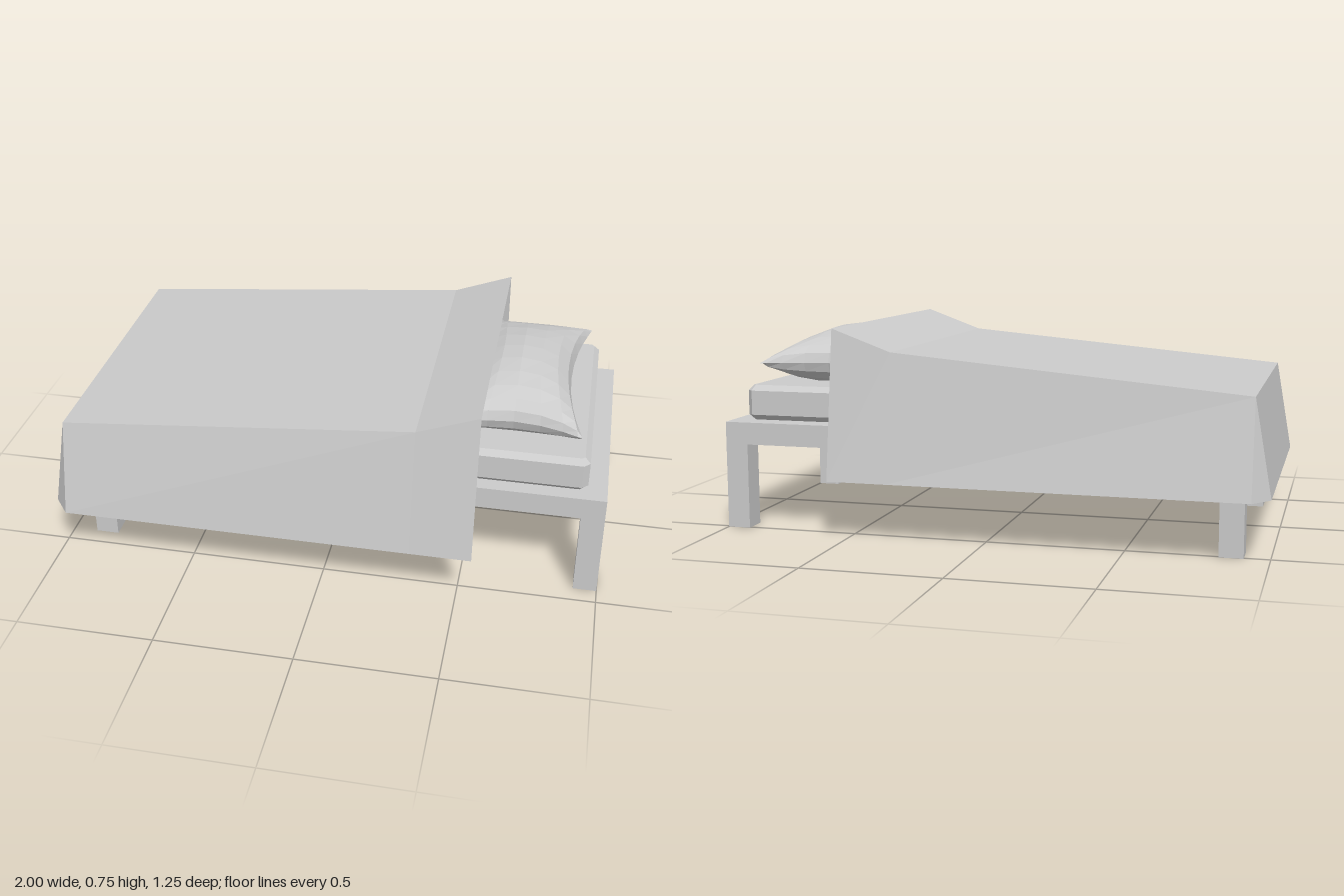
import * as THREE from 'three';

const grey = new THREE.MeshStandardMaterial({ color: 0xcccccc, flatShading: true });
const cloth = new THREE.MeshStandardMaterial({ color: 0xcccccc, flatShading: true, side: THREE.DoubleSide });

function add(parent, name, geometry, material = grey) {
  const mesh = new THREE.Mesh(geometry, material);
  mesh.name = name;
  parent.add(mesh);
  return mesh;
}

// Box given by its min and max corners
function box(parent, name, [x0, y0, z0], [x1, y1, z1]) {
  add(parent, name, new THREE.BoxGeometry(x1 - x0, y1 - y0, z1 - z0))
    .position.set((x0 + x1) / 2, (y0 + y1) / 2, (z0 + z1) / 2);
}

// Slab with every edge chamfered by b, standing on y = 0
function chamferedSlab(w, h, d, b) {
  const x = w / 2 - b, z = d / 2 - b, c = b * 0.5;
  const shape = new THREE.Shape([
    [-x + c, -z], [x - c, -z], [x, -z + c], [x, z - c],
    [x - c, z], [-x + c, z], [-x, z - c], [-x, -z + c],
  ].map(p => new THREE.Vector2(...p)));
  return new THREE.ExtrudeGeometry(shape, {
    depth: h - 2 * b, bevelEnabled: true, bevelSegments: 1, bevelSize: b, bevelThickness: b,
  }).rotateX(-Math.PI / 2).translate(0, b, 0);
}

// One half of the pillow: a grid with pinched sides, puffed up or down
function pillowHalf(up) {
  const geometry = new THREE.PlaneGeometry(2, 2, 8, 12).rotateX(up ? -Math.PI / 2 : Math.PI / 2);
  const p = geometry.attributes.position;
  for (let i = 0; i < p.count; i++) {
    const u = Math.sin(p.getX(i) * Math.PI / 2), v = Math.sin(p.getZ(i) * Math.PI / 2);
    const puff = Math.pow(Math.max(0, (1 - u * u) * (1 - v * v)), 0.45);
    p.setXYZ(i,
      0.245 * u * (1 - 0.25 * (1 - v * v)),
      up ? 0.127 * puff : Math.max(-0.077, -0.12 * puff),
      0.405 * v * (1 - 0.17 * (1 - u * u)));
  }
  geometry.computeVertexNormals();
  return geometry;
}

// Blanket draped over the bed, open at the head end
function blanketGeometry() {
  const hem = 0.215, zt = 0.55, zb = 0.625;
  const ridge = [[-0.94, 0.56], [0.335, 0.675], [0.555, 0.755]];
  const v = [];
  const tri = (...pts) => pts.forEach(q => v.push(...q));
  const quad = (a, b, c, d) => tri(a, b, c, a, c, d);
  for (let i = 0; i < 2; i++) {
    const [x0, y0] = ridge[i], [x1, y1] = ridge[i + 1];
    quad([x0, y0, zt], [x1, y1, zt], [x1, y1, -zt], [x0, y0, -zt]);
    quad([x0, hem, zb], [x1, hem, zb], [x1, y1, zt], [x0, y0, zt]);
    quad([x1, hem, -zb], [x0, hem, -zb], [x0, y0, -zt], [x1, y1, -zt]);
  }
  // foot drop and its two corner folds
  const [x, y] = ridge[0];
  quad([-1, hem, -zt], [-1, hem, zt], [x, y, zt], [x, y, -zt]);
  tri([-1, hem, zt], [x, hem, zb], [x, y, zt]);
  tri([x, hem, -zb], [-1, hem, -zt], [x, y, -zt]);
  const geometry = new THREE.BufferGeometry();
  geometry.setAttribute('position', new THREE.Float32BufferAttribute(v, 3));
  geometry.computeVertexNormals();
  return geometry;
}

export function createModel() {
  const bed = new THREE.Group();
  bed.name = 'bed';

  // Frame and legs
  const frame = new THREE.Group();
  frame.name = 'frame';
  bed.add(frame);
  box(frame, 'platform', [-0.91, 0.315, -0.51], [1, 0.397, 0.435]);
  for (const x of [-0.91, 0.915])
    for (const z of [-0.51, 0.348])
      box(frame, 'leg', [x, 0, z], [x + 0.085, 0.315, z + 0.087]);

  // Mattress
  add(bed, 'mattress', chamferedSlab(1.77, 0.13, 0.88, 0.02)).position.set(0.045, 0.402, -0.037);

  // Pillow
  const pillow = new THREE.Group();
  pillow.name = 'pillow';
  pillow.position.set(0.65, 0.609, -0.025);
  bed.add(pillow);
  add(pillow, 'pillowTop', pillowHalf(true));
  add(pillow, 'pillowBottom', pillowHalf(false));

  add(bed, 'blanket', blanketGeometry(), cloth);
  return bed;
}
